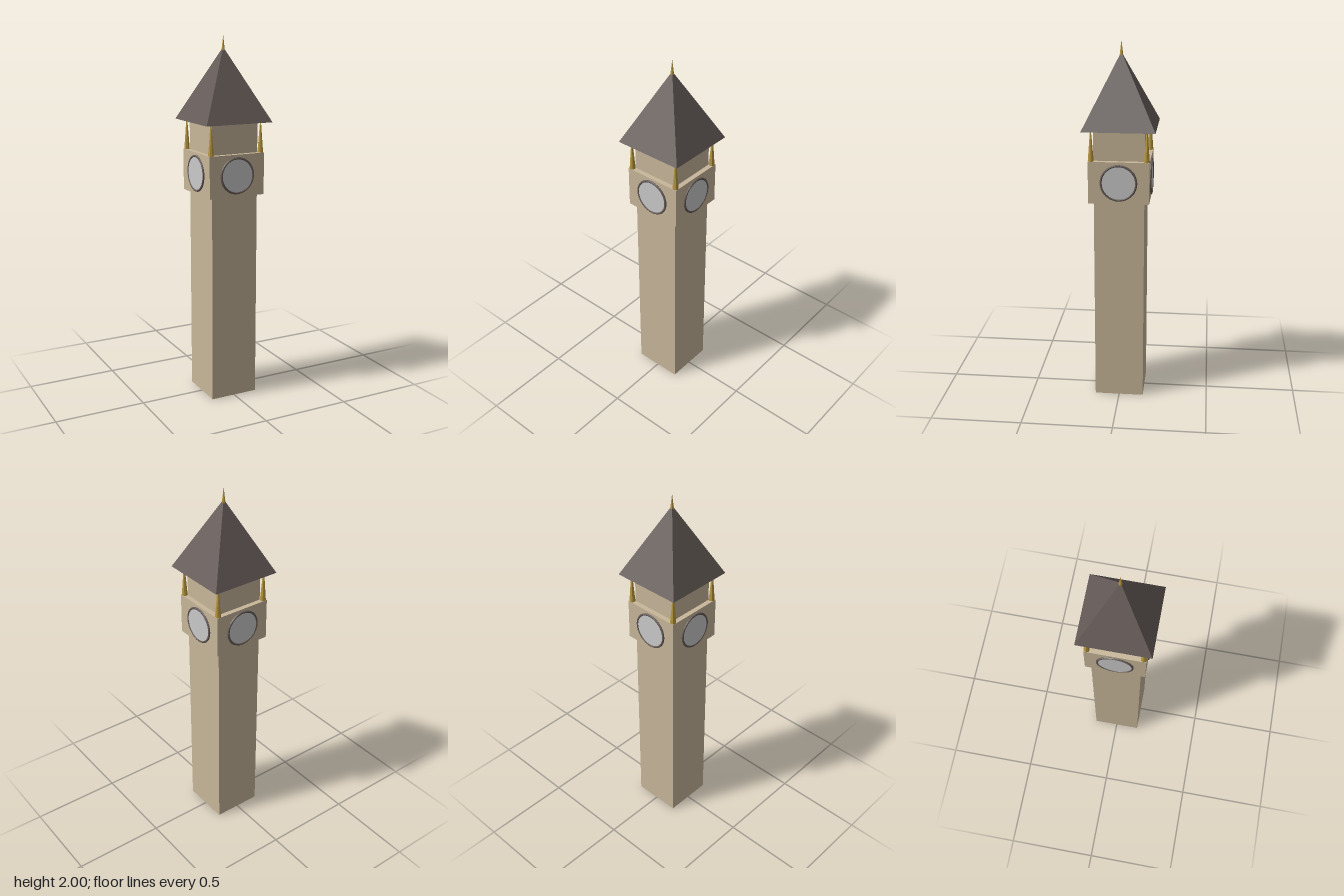
import * as THREE from 'three';

const mat = (name, color) => {
  const m = new THREE.MeshStandardMaterial({ color, flatShading: true });
  m.name = name;
  return m;
};

export function createModel() {
  const stone = mat('sandstone', 0xc8b79a);
  const slate = mat('slate', 0x665c58);
  const gold = mat('gold', 0xb8983f);
  const white = mat('dialWhite', 0xcacaca);

  const tower = new THREE.Group();
  tower.name = 'clockTower';

  const add = (name, geometry, material, x, y, z, parent = tower) => {
    const mesh = new THREE.Mesh(geometry, material);
    mesh.name = name;
    mesh.position.set(x, y, z);
    parent.add(mesh);
    return mesh;
  };
  // Square block between two heights
  const block = (name, half, y0, y1) =>
    add(name, new THREE.BoxGeometry(half * 2, y1 - y0, half * 2), stone, 0, (y0 + y1) / 2, 0);

  block('shaft', 0.136, 0, 1.155);
  block('clockStage', 0.163, 1.155, 1.383);
  block('belfry', 0.136, 1.383, 1.547);

  // Pyramid roof with its finial
  const roof = new THREE.ConeGeometry(0.195 * Math.SQRT2, 0.39, 4);
  roof.rotateY(Math.PI / 4);
  add('roof', roof, slate, 0, 1.547 + 0.195, 0);
  add('finial', new THREE.ConeGeometry(0.01, 0.085, 8), gold, 0, 1.9575, 0);

  // One clock on each side: rim and dial
  const rim = new THREE.TorusGeometry(0.094, 0.0065, 8, 32);
  const dial = new THREE.CylinderGeometry(0.092, 0.092, 0.006, 32);
  dial.rotateX(Math.PI / 2);
  for (let i = 0; i < 4; i++) {
    const clock = new THREE.Group();
    clock.name = 'clock';
    clock.rotation.y = (i * Math.PI) / 2;
    add('clockRim', rim, slate, 0, 1.27, 0.165, clock);
    add('clockDial', dial, white, 0, 1.27, 0.165, clock);
    tower.add(clock);
  }

  // Corner pinnacles, tips tucked under the roof
  const pinnacle = new THREE.ConeGeometry(0.016, 0.2, 8);
  for (const x of [-1, 1]) {
    for (const z of [-1, 1]) add('pinnacle', pinnacle, gold, x * 0.148, 1.483, z * 0.148);
  }

  return tower;
}
